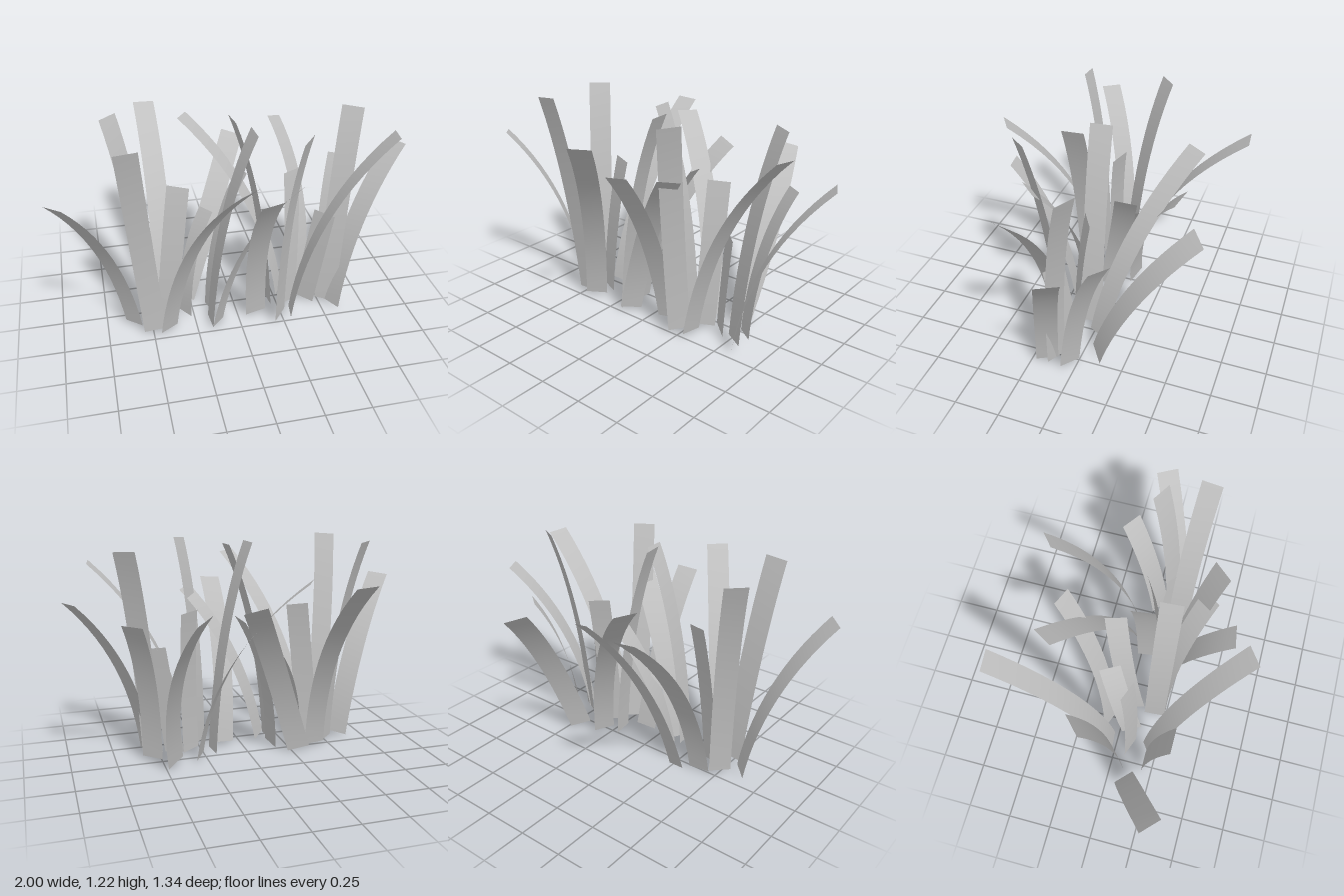
import * as THREE from 'three';

// One blade per row: base x, z | tip x, y, z | facing angle in degrees
const BLADES = [
  [-0.60, 0.10, -0.955, 0.97, 0.335, 45],
  [-0.49, 0.19, -0.59, 1.225, 0.345, 0],
  [-0.505, 0.04, -0.64, 1.22, -0.125, -43],
  [-0.405, -0.02, -0.40, 1.065, -0.665, -5],
  [-0.41, 0.09, -0.31, 0.86, 0.05, 20],
  [-0.41, 0.195, -0.05, 1.11, 0.63, -35],
  [-0.285, -0.075, 0.085, 0.93, -0.42, 18],
  [-0.30, 0.07, -0.135, 0.615, -0.10, 63],
  [-0.17, 0.18, 0.075, 1.20, 0.177, 86],
  [-0.155, 0.05, 0.08, 0.83, -0.12, 78],
  [-0.13, 0.20, 0.28, 0.94, 0.355, -51],
  [0.105, 0.15, 0.085, 0.965, 0.525, -10],
  [0.20, 0.04, -0.015, 1.225, 0.05, 83],
  [0.235, 0.21, 0.30, 1.225, 0.38, -50],
  [0.29, -0.03, -0.21, 1.065, -0.42, -59],
  [0.315, 0.09, 0.33, 0.86, 0.00, -32],
  [0.30, 0.19, 0.84, 1.125, 0.213, 99],
  [0.44, -0.08, 0.385, 0.935, -0.59, -38],
  [0.415, 0.08, 0.495, 0.64, 0.13, 40],
  [0.535, 0.12, 0.675, 1.20, -0.03, 30],
  [0.55, 0.035, 0.67, 0.84, -0.19, 37],
  [0.56, 0.165, 0.97, 0.95, -0.06, 62],
];
const WIDTH = 0.122;
const BASE_Y = 0.032;
const SEGMENTS = 14;

// A flat ribbon that leans straight along its width and bends along its normal
function bladeGeometry([baseX, baseZ, tipX, tipY, tipZ, degrees]) {
  const angle = THREE.MathUtils.degToRad(degrees);
  const along = new THREE.Vector3(Math.cos(angle), 0, Math.sin(angle));
  const normal = new THREE.Vector3(-along.z, 0, along.x);
  const base = new THREE.Vector3(baseX, BASE_Y, baseZ);
  const tip = new THREE.Vector3(tipX, tipY, tipZ);
  const delta = tip.clone().sub(base);
  const rise = new THREE.Vector3(0, delta.y * 0.61, 0)
    .addScaledVector(along, delta.dot(along) * 0.61)
    .addScaledVector(normal, delta.dot(normal) * 0.17);
  const curve = new THREE.QuadraticBezierCurve3(base, base.clone().add(rise), tip);

  // Tilt the width so the ends are cut square to the blade
  const half = along.clone().setY(-along.dot(rise) / rise.y).multiplyScalar(WIDTH / 2);

  const positions = [];
  const index = [];
  for (let i = 0; i <= SEGMENTS; i++) {
    const p = curve.getPoint(i / SEGMENTS);
    positions.push(...p.clone().sub(half).toArray(), ...p.add(half).toArray());
    if (i < SEGMENTS) {
      const a = i * 2;
      index.push(a, a + 1, a + 3, a, a + 3, a + 2);
    }
  }
  const geometry = new THREE.BufferGeometry();
  geometry.setAttribute('position', new THREE.Float32BufferAttribute(positions, 3));
  geometry.setIndex(index);
  geometry.computeVertexNormals();
  return geometry;
}

export function createModel() {
  const group = new THREE.Group();
  group.name = 'grassTuft';
  const material = new THREE.MeshStandardMaterial({ color: 0xc0c0c0, side: THREE.DoubleSide });
  material.name = 'lightGrey';
  BLADES.forEach((blade, i) => {
    const mesh = new THREE.Mesh(bladeGeometry(blade), material);
    mesh.name = `grassBlade${i + 1}`;
    group.add(mesh);
  });
  return group;
}
